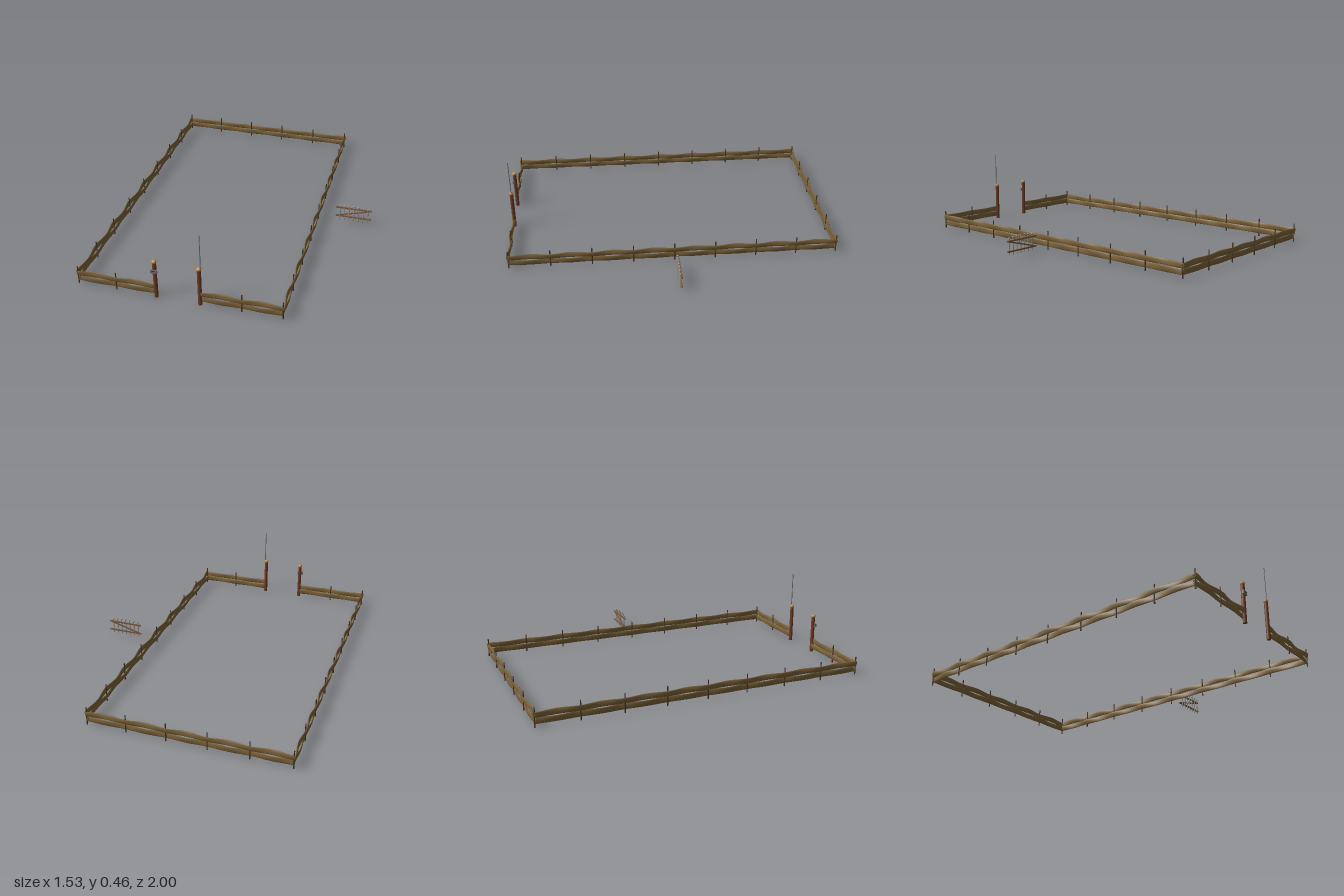
import * as THREE from 'three';

const mat = (name, color) => {
  const m = new THREE.MeshStandardMaterial({ color });
  m.name = name;
  return m;
};

export function createModel() {
  const root = new THREE.Group();
  const railWood = mat('rail wood', 0x7c6339);
  const stakeWood = mat('dark stake wood', 0x4a3727);
  const postWood = mat('red brown post wood', 0x713c25);
  const capGold = mat('golden cap', 0xbf8d4c);
  const gateWood = mat('gate wood', 0x7a5a41);
  const picketGrey = mat('pale picket grey', 0x9a9288);
  const metal = mat('grey metal', 0x747170);
  const dark = mat('dark slot', 0x2c2420);

  const add = (parent, name, geo, material, x, y, z) => {
    const m = new THREE.Mesh(geo, material);
    m.name = name;
    m.position.set(x, y, z);
    parent.add(m);
    return m;
  };

  // Plank rail along +x: oval sections weaving and leaning sideways, one wave per span
  function railGeometry(length, spans, halfHeight, sway) {
    const steps = spans * 16, sides = 12, pos = [], idx = [];
    for (let i = 0; i <= steps; i++) {
      const t = i / steps;
      const wave = Math.cos(t * spans * Math.PI * 2) * Math.sign(sway);
      for (let j = 0; j < sides; j++) {
        const a = (j / sides) * Math.PI * 2;
        const y = Math.sin(a) * halfHeight;
        const z = Math.cos(a) * 0.0045 + (Math.abs(sway) + 0.15 * y) * wave;
        pos.push((t - 0.5) * length, y, z);
      }
    }
    for (let i = 0; i < steps; i++) {
      for (let j = 0; j < sides; j++) {
        const a = i * sides + j, b = i * sides + (j + 1) % sides;
        idx.push(a, a + sides, b, b, a + sides, b + sides);
      }
    }
    // End caps
    const last = steps * sides;
    for (let j = 1; j < sides - 1; j++) {
      idx.push(0, j, j + 1, last, last + j + 1, last + j);
    }
    const g = new THREE.BufferGeometry();
    g.setAttribute('position', new THREE.Float32BufferAttribute(pos, 3));
    g.setIndex(idx);
    g.computeVertexNormals();
    return g;
  }

  // One straight run of fence: rails pass on opposite sides of each stake
  const stakeGeo = new THREE.CylinderGeometry(0.0035, 0.004, 0.113, 8);
  function fence(name, x0, z0, x1, z1, spans, firstStake, lastStake) {
    const run = new THREE.Group();
    run.name = name;
    const length = Math.hypot(x1 - x0, z1 - z0);
    run.position.set((x0 + x1) / 2, 0, (z0 + z1) / 2);
    run.rotation.y = -Math.atan2(z1 - z0, x1 - x0);
    add(run, 'upperRail', railGeometry(length + 0.006, spans, 0.0165, 0.005), railWood, 0, 0.0715, 0);
    add(run, 'lowerRail', railGeometry(length + 0.006, spans, 0.0178, -0.005), railWood, 0, 0.0365, 0);
    for (let i = firstStake; i <= lastStake; i++) {
      add(run, 'stake', stakeGeo, stakeWood, (i / spans - 0.5) * length, 0.0565, 0);
    }
    root.add(run);
  }
  const L = -0.757, R = 0.43, B = -0.99, F = 0.985;
  fence('backFence', R, B, L, B, 5, 0, 5);
  fence('rightFence', L, B, L, F, 8, 1, 8);
  fence('leftFence', R, F, R, B, 8, 0, 7);
  fence('frontRightFence', L, F, -0.297, F, 2, 1, 1);
  fence('frontLeftFence', -0.027, F, R, F, 2, 1, 1);

  // Entrance posts with ball caps
  for (const x of [-0.29, -0.035]) {
    const post = new THREE.Group();
    post.name = 'entrancePost';
    post.position.set(x, 0, F);
    add(post, 'postShaft', new THREE.CylinderGeometry(0.0115, 0.0115, 0.235, 16), postWood, 0, 0.1175, 0);
    add(post, 'postCap', new THREE.SphereGeometry(0.0142, 16, 10), capGold, 0, 0.239, 0)
      .scale.y = 0.85;
    root.add(post);
  }

  // Small box with a slot on the right entrance post
  add(root, 'postBox', new THREE.BoxGeometry(0.037, 0.022, 0.011), metal, -0.291, 0.179, 0.9945);
  add(root, 'postBoxSlot', new THREE.BoxGeometry(0.022, 0.004, 0.002), dark, -0.291, 0.183, 1);

  // Tall thin mast on the left entrance post
  add(root, 'mast', new THREE.CylinderGeometry(0.0025, 0.0028, 0.225, 8), metal, -0.026, 0.3455, F);
  add(root, 'mastTip', new THREE.SphereGeometry(0.0038, 8, 6), metal, -0.026, 0.457, F);

  // Detached gate: two cross rails, a brace and seven knobbed pickets
  const gate = new THREE.Group();
  gate.name = 'gate';
  for (const y of [0.044, 0.105]) {
    add(gate, 'gateRail', new THREE.BoxGeometry(0.224, 0.009, 0.007), gateWood, 0.65, y, -0.012);
  }
  const brace = add(gate, 'gateBrace', new THREE.BoxGeometry(0.2, 0.008, 0.006), gateWood, 0.65, 0.0745, -0.012);
  brace.rotation.z = Math.atan2(0.055, 0.195);
  for (let i = -3; i <= 3; i++) {
    const x = 0.652 + i * 0.0293;
    const top = 0.127 - 0.0009 * i * i;
    add(gate, 'picket', new THREE.CylinderGeometry(0.003, 0.003, top - 0.02, 8), picketGrey, x, (top + 0.02) / 2, -0.005);
    add(gate, 'picketKnob', new THREE.SphereGeometry(0.0062, 10, 8), picketGrey, x, top, -0.005);
  }
  root.add(gate);
  return root;
}
